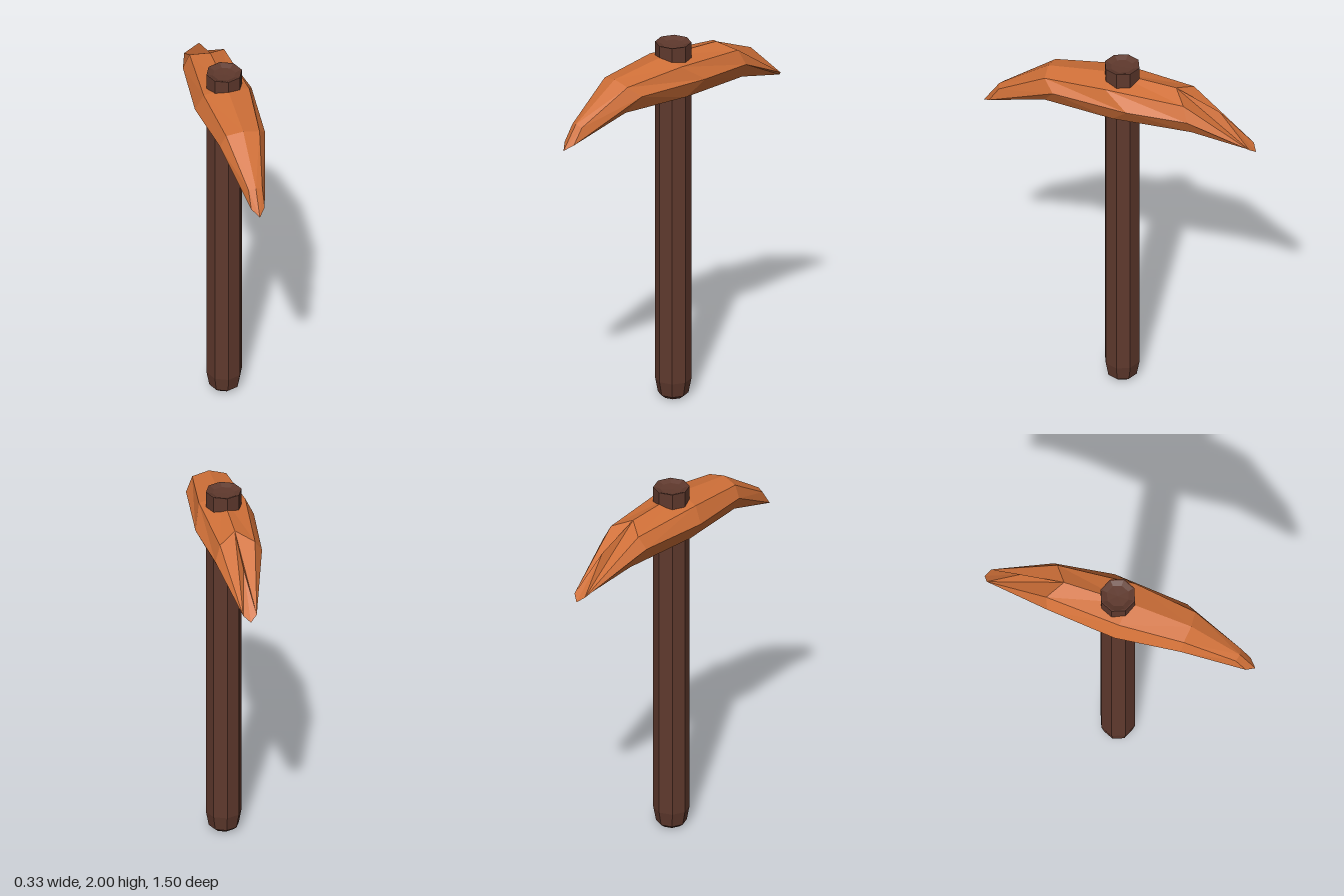
import * as THREE from 'three';

const wood = new THREE.MeshStandardMaterial({ color: 0x5f392d });
wood.name = 'darkWood';
const copper = new THREE.MeshStandardMaterial({ color: 0xd07038 });
copper.name = 'copperOrange';

// Faceted normals for the low-poly look
function faceted(geometry) {
  const g = geometry.index ? geometry.toNonIndexed() : geometry;
  g.computeVertexNormals();
  return g;
}

// Octagonal shaft with a rounded foot and a slightly dished top
function handleGeometry() {
  const profile = [[0, 0], [0.055, 0], [0.08, 0.02], [0.095, 0.1], [0.095, 2], [0.088, 2], [0.06, 1.988], [0, 1.985]]
    .map(([r, y]) => new THREE.Vector2(r, y));
  return faceted(new THREE.LatheGeometry(profile, 8));
}

// Loft through eight-sided rings running from the front (+z) to the back,
// closed by a point at each end
function loftGeometry(rings, frontTip, backTip) {
  const positions = [];
  const triangle = (...corners) => {
    const [a, b, c] = corners.map((p) => new THREE.Vector3(...p));
    if (new THREE.Triangle(a, b, c).getArea() < 1e-6) return;
    positions.push(...a, ...b, ...c);
  };
  const first = rings[0], last = rings[rings.length - 1], n = first.length;
  for (let k = 0; k < n; k++) {
    const m = (k + 1) % n;
    triangle(frontTip, first[m], first[k]);
    triangle(backTip, last[k], last[m]);
    for (let i = 0; i < rings.length - 1; i++) {
      const a = rings[i][k], b = rings[i][m], c = rings[i + 1][m], d = rings[i + 1][k];
      // Mirror the quad diagonals on either side
      if (k < n / 2) { triangle(a, b, c); triangle(a, c, d); }
      else { triangle(a, b, d); triangle(b, c, d); }
    }
  }
  const g = new THREE.BufferGeometry();
  g.setAttribute('position', new THREE.Float32BufferAttribute(positions, 3));
  return faceted(g);
}

// Curved two-pointed head
function headGeometry() {
  const frontTip = [0, 1.594, 0.75];
  const backTip = [0, 1.61, -0.75];
  // Order: ridge, left top, left side, left bottom, keel, right bottom, right side, right top
  const rings = [
    [[0, 1.72, 0.665], [0.037, 1.71, 0.655], [0.036, 1.625, 0.71], frontTip, frontTip, frontTip,
      [-0.036, 1.625, 0.71], [-0.037, 1.71, 0.655]],
    [[0, 1.9, 0.395], [0.09, 1.88, 0.385], [0.135, 1.825, 0.325], [0.08, 1.735, 0.39], [0, 1.715, 0.4],
      [-0.08, 1.735, 0.39], [-0.122, 1.815, 0.38], [-0.09, 1.88, 0.385]],
    [[0, 1.94, 0.05], [0.122, 1.91, 0.04], [0.166, 1.82, -0.09], [0.12, 1.73, 0], [0, 1.7, 0],
      [-0.12, 1.73, 0], [-0.168, 1.82, 0.03], [-0.124, 1.91, 0.04]],
    [[0, 1.92, -0.31], [0.092, 1.88, -0.38], [0.123, 1.8, -0.41], [0.08, 1.715, -0.42], [0, 1.704, -0.43],
      [-0.08, 1.715, -0.42], [-0.136, 1.815, -0.355], [-0.095, 1.88, -0.375]],
    [[0, 1.82, -0.55], [0.036, 1.64, -0.725], [0.036, 1.64, -0.725], backTip, backTip, backTip,
      [-0.036, 1.64, -0.725], [-0.036, 1.64, -0.725]],
  ];
  return loftGeometry(rings, frontTip, backTip);
}

export function createModel() {
  const model = new THREE.Group();
  model.name = 'pickaxe';

  const handle = new THREE.Mesh(handleGeometry(), wood);
  handle.name = 'handle';
  handle.position.z = -0.012;

  const head = new THREE.Mesh(headGeometry(), copper);
  head.name = 'pickHead';

  model.add(handle, head);
  return model;
}
